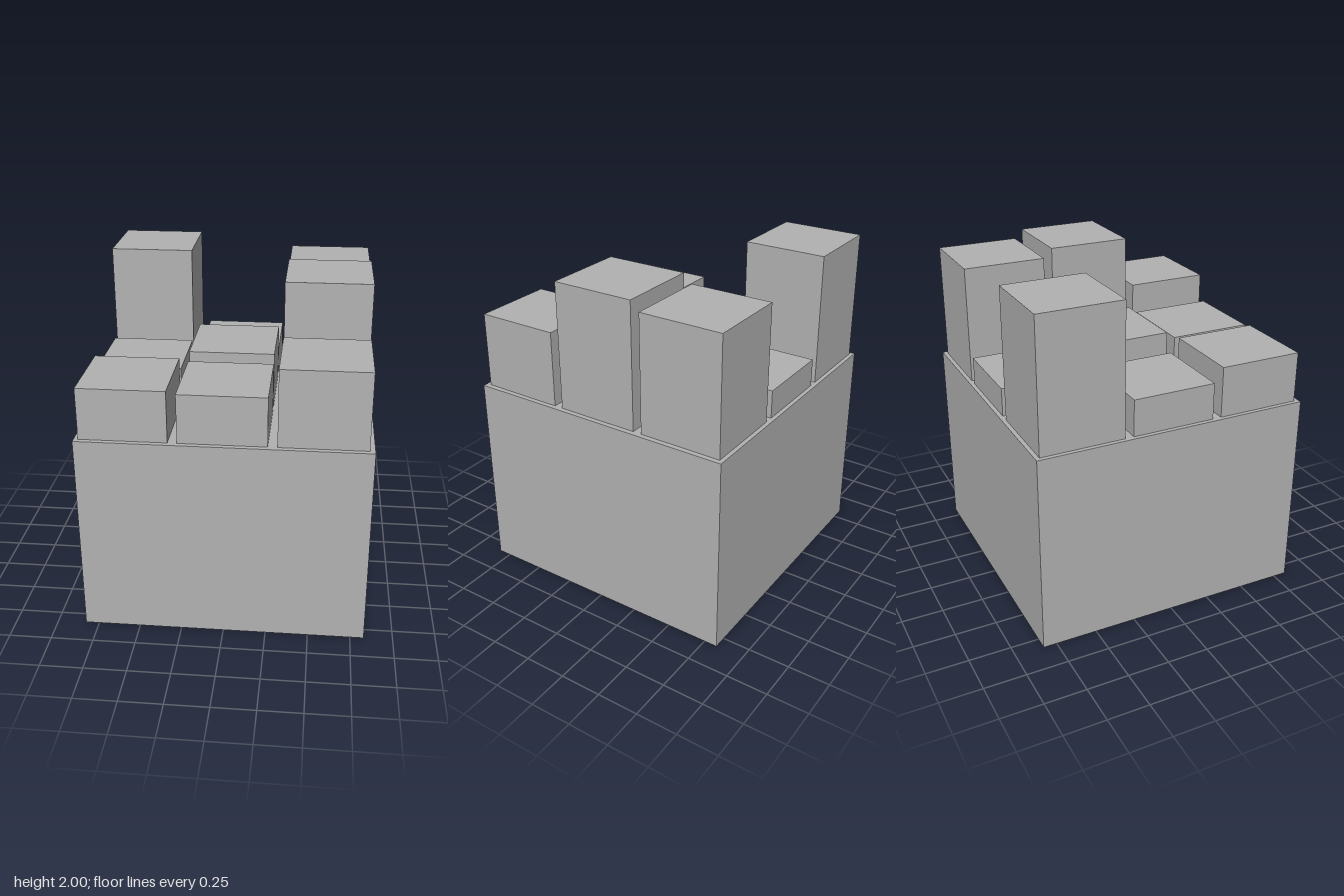
import * as THREE from 'three';

export function createModel() {
  const model = new THREE.Group();
  const grey = new THREE.MeshStandardMaterial({ color: 0xb2b2b2 });
  grey.name = 'grey';

  const baseTop = 1.21;
  const block = (name, width, bottom, top, x, z) => {
    const mesh = new THREE.Mesh(new THREE.BoxGeometry(width, top - bottom, width), grey);
    mesh.position.set(x, (bottom + top) / 2, z);
    mesh.name = name;
    model.add(mesh);
  };

  // Solid base
  block('base', 1.66, 0, baseTop, 0, 0);

  // Three by three grid of pillars: top heights, rows from back to front, columns from -x to +x
  const centres = [-0.555, -0.003, 0.55];
  const tops = [
    [2.0, 1.38, 1.92],
    [1.43, 1.54, 1.975],
    [1.515, 1.5, 1.665],
  ];
  const rowNames = ['back', 'middle', 'front'];
  const columnNames = ['Right', 'Centre', 'Left'];
  tops.forEach((row, r) => row.forEach((top, c) => {
    block(`${rowNames[r]}${columnNames[c]}Pillar`, 0.5, baseTop, top, centres[c], centres[r]);
  }));

  return model;
}
